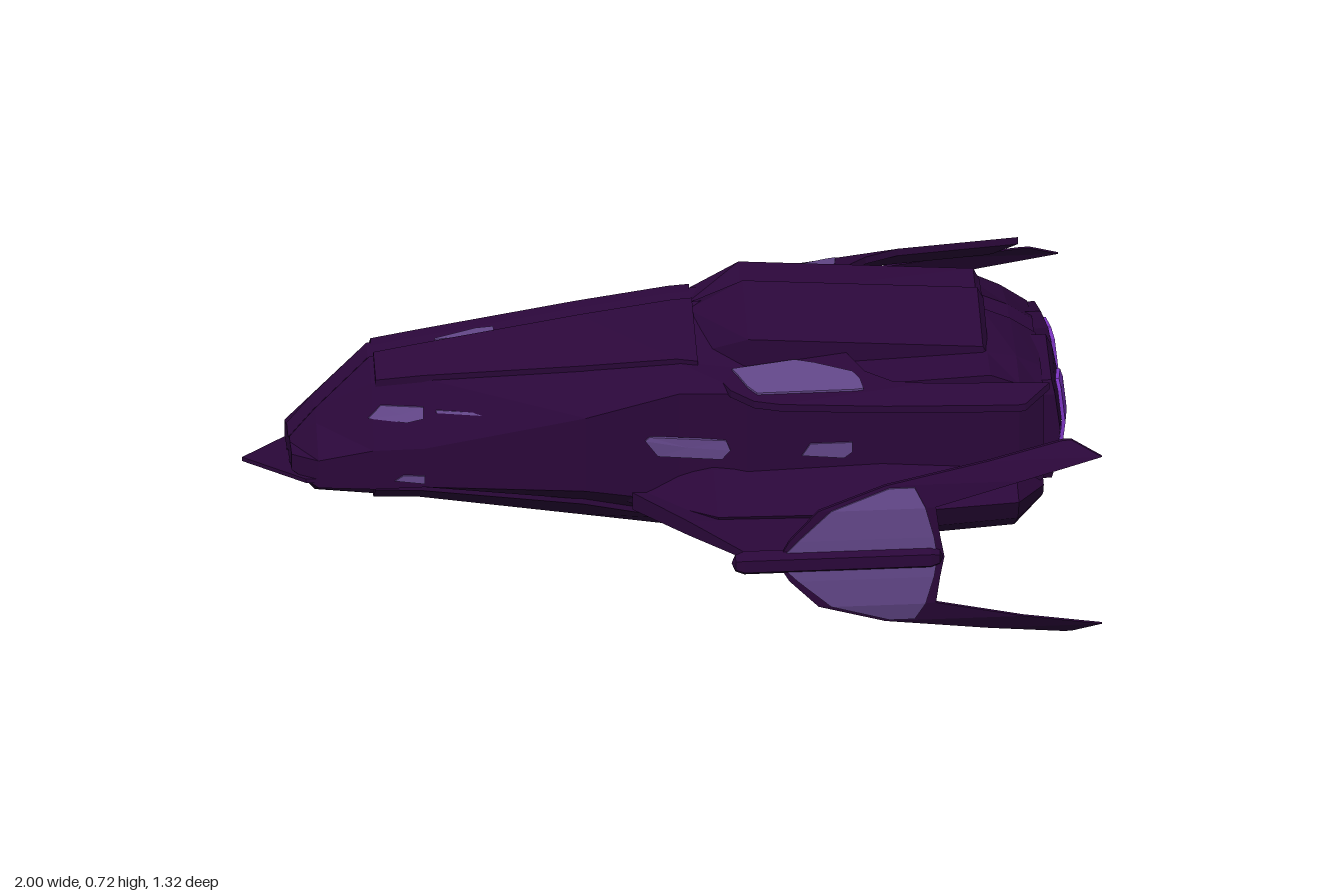
import * as THREE from 'three';

const hullMat = new THREE.MeshStandardMaterial({ name: 'dark purple hull', color: 0x2a0739 });
const panelMat = new THREE.MeshStandardMaterial({ name: 'pale violet panel', color: 0x624688 });
const glowMat = new THREE.MeshStandardMaterial({ name: 'engine violet', color: 0x7c34c2 });

// Closed faceted solid through equal-length rings of [x, y, z] points, oriented outwards
function loft(rings) {
  const tris = [], n = rings[0].length;
  const cap = (ring) => {
    const c = [0, 1, 2].map((k) => ring.reduce((sum, p) => sum + p[k], 0) / n);
    return ring.map((p, i) => [c, p, ring[(i + 1) % n]]);
  };
  for (let r = 0; r < rings.length - 1; r++) {
    for (let i = 0; i < n; i++) {
      const j = (i + 1) % n, a = rings[r], b = rings[r + 1];
      tris.push([a[i], b[i], b[j]], [a[i], b[j], a[j]]);
    }
  }
  tris.push(...cap(rings[0]), ...cap(rings[rings.length - 1]).map((t) => [t[0], t[2], t[1]]));
  const vec = (p) => new THREE.Vector3(...p);
  const origin = vec(rings[0][0]);
  let volume = 0;
  for (const t of tris) {
    const [a, b, c] = t.map((p) => vec(p).sub(origin));
    volume += a.dot(b.cross(c));
  }
  const ordered = volume < 0 ? tris.map((t) => [t[0], t[2], t[1]]) : tris;
  const geo = new THREE.BufferGeometry();
  geo.setAttribute('position', new THREE.Float32BufferAttribute(ordered.flat(2), 3));
  geo.computeVertexNormals();
  return geo;
}

// Hull stations: x, top, bottom, shoulder z, shoulder y, side z, side top, side bottom
const stations = [
  [-0.89, 0.35, 0.28, 0.05, 0.34, 0.10, 0.33, 0.29],
  [-0.83, 0.42, 0.21, 0.08, 0.40, 0.145, 0.33, 0.26],
  [-0.70, 0.55, 0.195, 0.095, 0.505, 0.165, 0.36, 0.26],
  [-0.58, 0.57, 0.19, 0.11, 0.52, 0.185, 0.37, 0.27],
  [-0.20, 0.63, 0.13, 0.155, 0.55, 0.243, 0.46, 0.27],
  [0.02, 0.66, 0.095, 0.19, 0.575, 0.255, 0.52, 0.24],
  [0.18, 0.67, 0.095, 0.21, 0.56, 0.30, 0.535, 0.23],
  [0.76, 0.62, 0.12, 0.21, 0.58, 0.30, 0.56, 0.21],
  [0.83, 0.59, 0.155, 0.205, 0.565, 0.292, 0.53, 0.23],
  [0.89, 0.55, 0.22, 0.19, 0.53, 0.26, 0.49, 0.27],
];
const halfRing = ([x, yt, yb, zs, ys, zm, yh, yl]) => [
  [x, yt - 0.02, 0], [x, yt, 0.04], [x, ys, zs], [x, yh, zm],
  [x, yl, zm], [x, yb + yt - ys, zs], [x, yb, 0.04], [x, yb + 0.02, 0],
];
const mirrorZ = (ring) => [...ring, ...ring.slice(1, -1).reverse().map(([x, y, z]) => [x, y, -z])];

// Station values interpolated at x, and hull half-width at (x, y)
function stationAt(x) {
  const i = Math.max(1, stations.findIndex((s) => s[0] >= x));
  const a = stations[i - 1], b = stations[i], t = (x - a[0]) / (b[0] - a[0]);
  return a.map((v, k) => v + (b[k] - v) * t);
}
function hullZ(x, y) {
  const ring = halfRing(stationAt(x));
  for (let i = 1; i < ring.length - 2; i++) {
    const [, y0, z0] = ring[i], [, y1, z1] = ring[i + 1];
    if (y <= y0 && y >= y1) return z0 + (z1 - z0) * (y0 - y) / (y0 - y1);
  }
  return 0;
}

export function createModel() {
  const model = new THREE.Group();
  const add = (name, geo, mat = hullMat) => {
    const mesh = new THREE.Mesh(geo, mat);
    mesh.name = name;
    model.add(mesh);
    return mesh;
  };

  add('hull', loft(stations.map((s) => mirrorZ(halfRing(s)))));

  // Flat prow blade
  const prow = [[-1, 0], [-0.86, 0.14], [-0.74, 0.15], [-0.74, -0.15], [-0.86, -0.14]];
  add('prowBlade', loft([0.272, 0.282].map((y) => prow.map(([x, z]) => [x, y, z]))));

  // Small canopy strip along the spine
  add('canopyStrip', loft([[-0.54, 0.004], [-0.44, 0.02], [-0.40, 0.012]].map(([x, w]) => {
    const y = stationAt(x)[1] - 0.004;
    return [[x, y, w], [x, y - 0.009, w], [x, y - 0.009, -w], [x, y, -w]];
  })), panelMat);

  for (const s of [1, -1]) {
    const solid = (name, rings, mat) =>
      add(name, loft(rings.map((r) => r.map(([x, y, z]) => [x, y, z * s]))), mat);

    for (const up of [1, -1]) {
      // Raised plates over the front hull, above and below
      solid(up > 0 ? 'dorsalPlate' : 'ventralPlate', [-0.69, -0.58, -0.2, 0.02, 0.07].map((x) => {
        const [, yt, yb, zs, ys] = stationAt(x);
        const edge = up > 0 ? yt : yb, drop = (yt - ys) * up, lift = 0.01 * up;
        return [[x, edge - 0.02 * up, 0.02], [x, edge + lift, 0.04],
          [x, edge - drop + lift, zs + 0.006], [x, edge - drop - lift, zs + 0.004]];
      }));

      // Heavy ridge armour over the rear hull
      const armour = [[0.06, 0.65, 0.6], [0.19, 0.72, 1], [0.75, 0.68, 1], [0.765, 0.65, 0.96]];
      solid(up > 0 ? 'upperArmour' : 'lowerArmour', armour.map(([x, y, k]) => [
        [0.0, Math.min(0.655, y - 0.01)], [0.055, y], [0.21 * k, y - 0.085], [0.21 * k, y - 0.165], [0, 0.52],
      ].map(([z, py]) => [x, up > 0 ? py : 0.765 - py, z])));
    }

    // Side pontoon
    const section = [[0.1, 0.36], [0.30, 0.34], [0.435, 0.27], [0.40, 0.21], [0.28, 0.14], [0.1, 0.14]];
    const pontoon = [[-0.1, 0.4, 0.35], [0.1, 0.95, 0.95], [0.5, 1, 1], [0.82, 0.87, 0.9], [0.89, 0.5, 0.5]];
    solid('sidePontoon', pontoon.map(([x, k, h]) =>
      section.map(([z, y]) => [x, 0.24 + (y - 0.24) * h, 0.1 + (z - 0.1) * k])));

    // Swept wing, thinning to the tip
    solid('wing', [[0.25, -0.09, 0.022], [0.42, 0.03, 0.018], [0.62, 0.17, 0.007]].map(([z, x0, t]) =>
      [[x0, 0.243 - t, z], [x0, 0.243 + t, z], [0.465, 0.243 + t, z], [0.465, 0.243 - t, z]]));

    // Wingtip pod
    const pod = add('wingtipPod', new THREE.CapsuleGeometry(0.03, 0.445, 2, 6).toNonIndexed());
    pod.geometry.computeVertexNormals();
    pod.rotation.z = Math.PI / 2;
    pod.position.set(0.365, 0.245, 0.633 * s);

    // Curved winglets above and below the pod: distance, leading x, trailing x, z
    const blade = [[0, 0.22, 0.62, 0.633], [0.05, 0.25, 0.61, 0.634], [0.12, 0.32, 0.60, 0.632],
      [0.17, 0.48, 0.81, 0.617], [0.21, 0.73, 1.0, 0.59], [0.24, 0.91, 0.93, 0.557]];
    const inlay = [[0.02, 0.24, 0.60, 0.633], [0.05, 0.27, 0.595, 0.634],
      [0.12, 0.35, 0.575, 0.632], [0.165, 0.49, 0.55, 0.619]];
    const sheet = (levels, rise, t) => levels.map(([d, x0, x1, z]) =>
      [[x0, z - t], [x1, z - t], [x1, z + t], [x0, z + t]].map(([x, pz]) => [x, 0.245 + d * rise, pz]));
    for (const rise of [1.07, -1]) {
      solid('winglet', sheet(blade, rise, 0.005));
      solid('wingletPanel', sheet(inlay, rise, 0.009), panelMat);
    }

    // Swept upper fin, drooping outwards, with an inlay through it: z, leading x, trailing x
    const finY = (x, z) => 0.54 + 0.12 * (x - 0.15) - 0.15 * (z - 0.3) - 0.8 * Math.max(0, z - 0.39);
    const fin = [[0.2, 0.1, 0.42], [0.3, 0.14, 0.46], [0.36, 0.19, 0.52],
      [0.39, 0.25, 0.6], [0.422, 0.5, 0.89], [0.455, 0.81, 0.83]];
    const finInlay = [[0.215, 0.15, 0.30], [0.24, 0.16, 0.345], [0.3, 0.18, 0.43],
      [0.335, 0.2, 0.445], [0.38, 0.43, 0.45]];
    const flat = (levels, lo, hi) => levels.map(([z, x0, x1]) =>
      [[x0, lo], [x1, lo], [x1, hi], [x0, hi]].map(([x, dy]) => [x, finY(x, z) + dy, z]));
    solid('upperFin', flat(fin, -0.012, 0.006));
    solid('upperFinPanel', flat(finInlay, 0.003, 0.011), panelMat);
    solid('upperFinUnderPanel', flat(finInlay, -0.016, -0.01), panelMat);

    // Bowed engine block, lower towards the outside, with a glowing exhaust
    const rear = (y, z) => 0.955 - 1.4 * (y - 0.382) ** 2 - 0.8 * Math.max(0, z - 0.07) ** 2;
    const bowed = (y0, y1, z0, z1, depth, out, taper) => [0, 0.12, 0.5, 0.88, 1].map((f) => {
      const inset = f === 0 || f === 1 ? 0.012 : 0;
      return [[z0 + inset, 1], [z1 - inset, 1], [z1 - inset, 0], [z0 + inset, 0]].map(([z, back]) => {
        const mid = (y0 + y1) / 2, k = 1 - taper * (z - z0) / (z1 - z0);
        const y = mid + (y1 - y0) * (f - 0.5) * k;
        return [rear(y, z) + (back ? out : -depth), y, z];
      });
    });
    solid('engineBlock', bowed(0.205, 0.56, 0.055, 0.24, 0.16, 0, 0.3));
    solid('engineGlow', bowed(0.27, 0.49, 0.108, 0.19, 0.004, 0.005, 0), glowMat);

    // Thin panels lying on the hull sides
    const panels = [
      [[-0.71, 0.43], [-0.68, 0.46], [-0.58, 0.46], [-0.58, 0.435], [-0.62, 0.425]],
      [[-0.55, 0.449], [-0.55, 0.455], [-0.41, 0.455], [-0.41, 0.449]],
      [[-0.65, 0.285], [-0.63, 0.3], [-0.58, 0.3], [-0.58, 0.28]],
      [[-0.06, 0.4], [-0.05, 0.41], [0.13, 0.41], [0.14, 0.385], [0.12, 0.36], [-0.03, 0.36]],
      [[0.31, 0.37], [0.33, 0.4], [0.43, 0.4], [0.43, 0.375], [0.41, 0.36]],
    ];
    for (const pts of panels) {
      solid('hullPanel', [-0.004, 0.005].map((o) => pts.map(([x, y]) => [x, y, hullZ(x, y) + o])), panelMat);
    }
  }
  return model;
}
